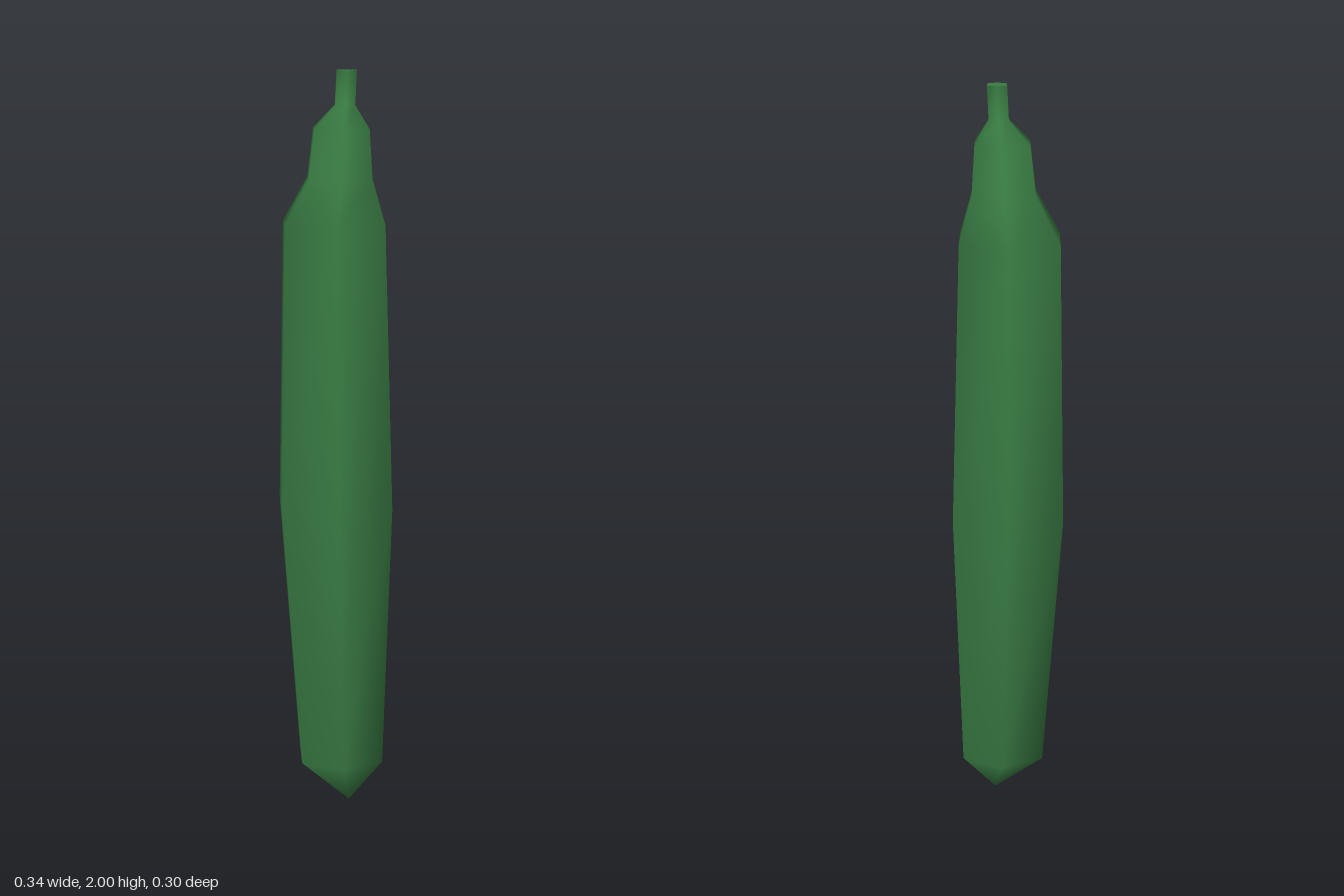
import * as THREE from 'three';

const SIDES = 6;

// Smooth six-sided skin through rings [y, centreX, radius], listed bottom to top.
function loft(rings) {
  const positions = [], index = [];
  for (const [y, cx, r] of rings) {
    for (let i = 0; i < SIDES; i++) {
      const a = (i / SIDES) * Math.PI * 2;
      positions.push(cx + r * Math.cos(a), y, -r * Math.sin(a));
    }
  }
  for (let k = 0; k < rings.length - 1; k++) {
    for (let i = 0; i < SIDES; i++) {
      const a = k * SIDES + i, b = k * SIDES + (i + 1) % SIDES;
      const c = a + SIDES, d = b + SIDES;
      if (rings[k][2] > 0) index.push(a, b, d);
      else { index.push(a, d, c); continue; }
      index.push(a, d, c);
    }
  }
  const geometry = new THREE.BufferGeometry();
  geometry.setAttribute('position', new THREE.Float32BufferAttribute(positions, 3));
  geometry.setIndex(index);
  geometry.computeVertexNormals();
  return geometry;
}

export function createModel() {
  const group = new THREE.Group();
  group.name = 'cucumber';
  const green = new THREE.MeshStandardMaterial({ color: 0x3a7d44 });
  green.name = 'green';

  const add = (name, geometry) => {
    const mesh = new THREE.Mesh(geometry, green);
    mesh.name = name;
    group.add(mesh);
    return mesh;
  };

  // Pointed tip, long belly, narrow neck and stem
  add('bodyAndStem', loft([
    [0, 0.042, 0],
    [0.125, 0.017, 0.127],
    [0.84, 0, 0.171],
    [1.6, -0.005, 0.152],
    [1.72, 0.013, 0.096],
    [1.85, 0.017, 0.083],
    [1.91, 0.028, 0.03],
    [2, 0.033, 0.03],
  ]));

  // Flat cut end of the stem
  const cap = add('stemEnd', new THREE.CircleGeometry(0.03, SIDES).rotateX(-Math.PI / 2));
  cap.position.set(0.033, 2, 0);

  return group;
}
